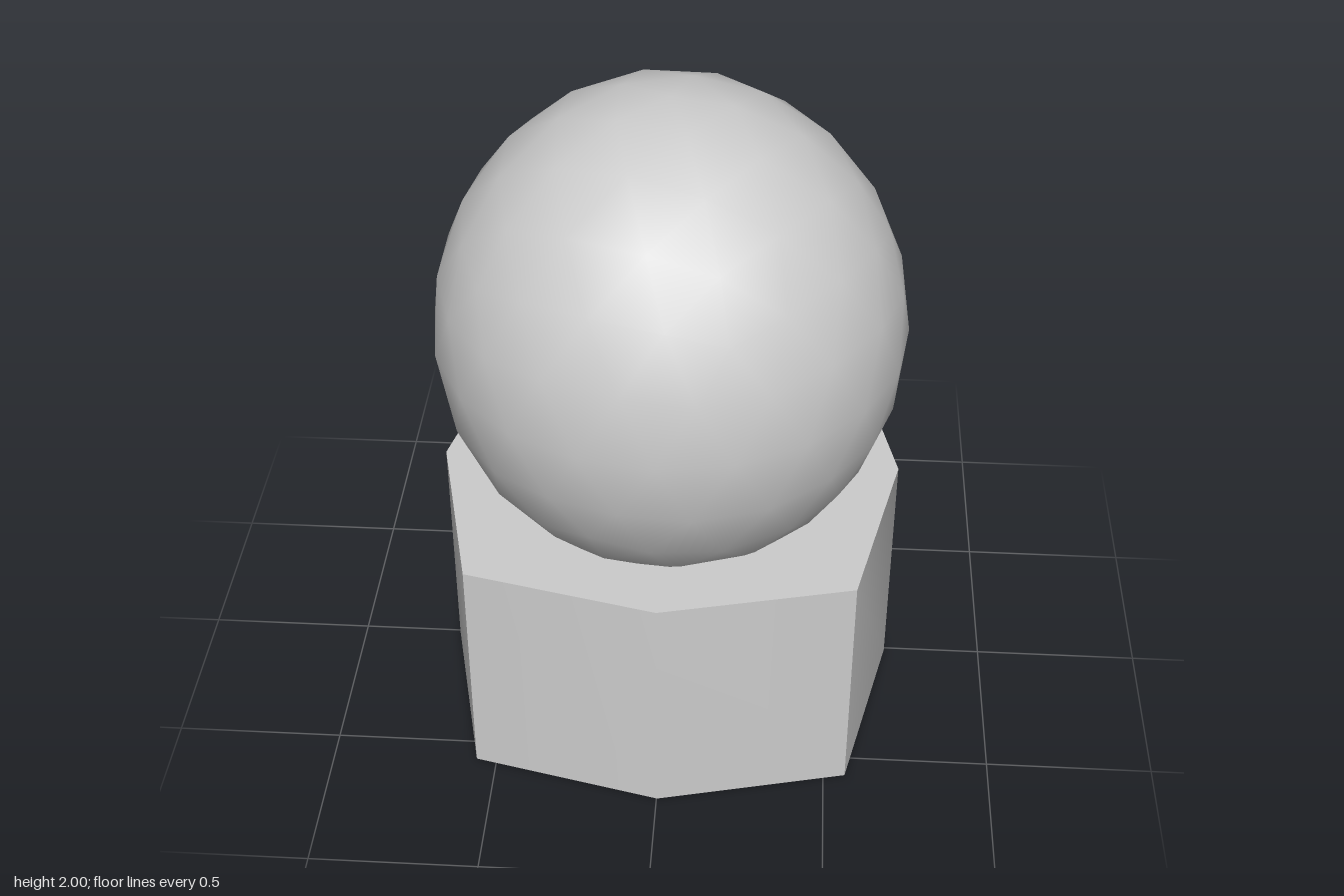
import * as THREE from 'three';
import { toCreasedNormals } from 'three/addons/utils/BufferGeometryUtils.js';

const BASE_HEIGHT = 0.75;

// Square block whose four sides bulge to a shallow ridge in the middle
function createBase(material) {
  const shape = new THREE.Shape();
  for (let i = 0; i < 8; i++) {
    const angle = (i * Math.PI) / 4;
    const radius = i % 2 ? 0.797 : 0.694; // corners reach further than ridges
    const x = radius * Math.cos(angle);
    const y = radius * Math.sin(angle);
    if (i === 0) shape.moveTo(x, y);
    else shape.lineTo(x, y);
  }
  shape.closePath();
  const geometry = new THREE.ExtrudeGeometry(shape, { depth: BASE_HEIGHT, bevelEnabled: false });
  geometry.rotateX(-Math.PI / 2);
  // Smooth over the shallow ridges, sharp at the corners and rims
  const base = new THREE.Mesh(toCreasedNormals(geometry, THREE.MathUtils.degToRad(40)), material);
  base.name = 'base';
  base.position.set(0.002, 0, 0.009);
  return base;
}

// Slightly tall icosphere, a vertex at its top, sunk into the base
function createBall(material) {
  const geometry = new THREE.IcosahedronGeometry(1, 3);
  geometry.rotateX(-Math.atan((1 + Math.sqrt(5)) / 2));
  geometry.rotateY(Math.PI / 2);
  geometry.scale(0.695, 0.74, 0.705);
  const ball = new THREE.Mesh(geometry, material);
  ball.name = 'ball';
  ball.position.y = 1.26;
  return ball;
}

export function createModel() {
  const material = new THREE.MeshStandardMaterial({ color: 0xcccccc });
  const model = new THREE.Group();
  model.name = 'ballOnBase';
  model.add(createBase(material), createBall(material));
  return model;
}
